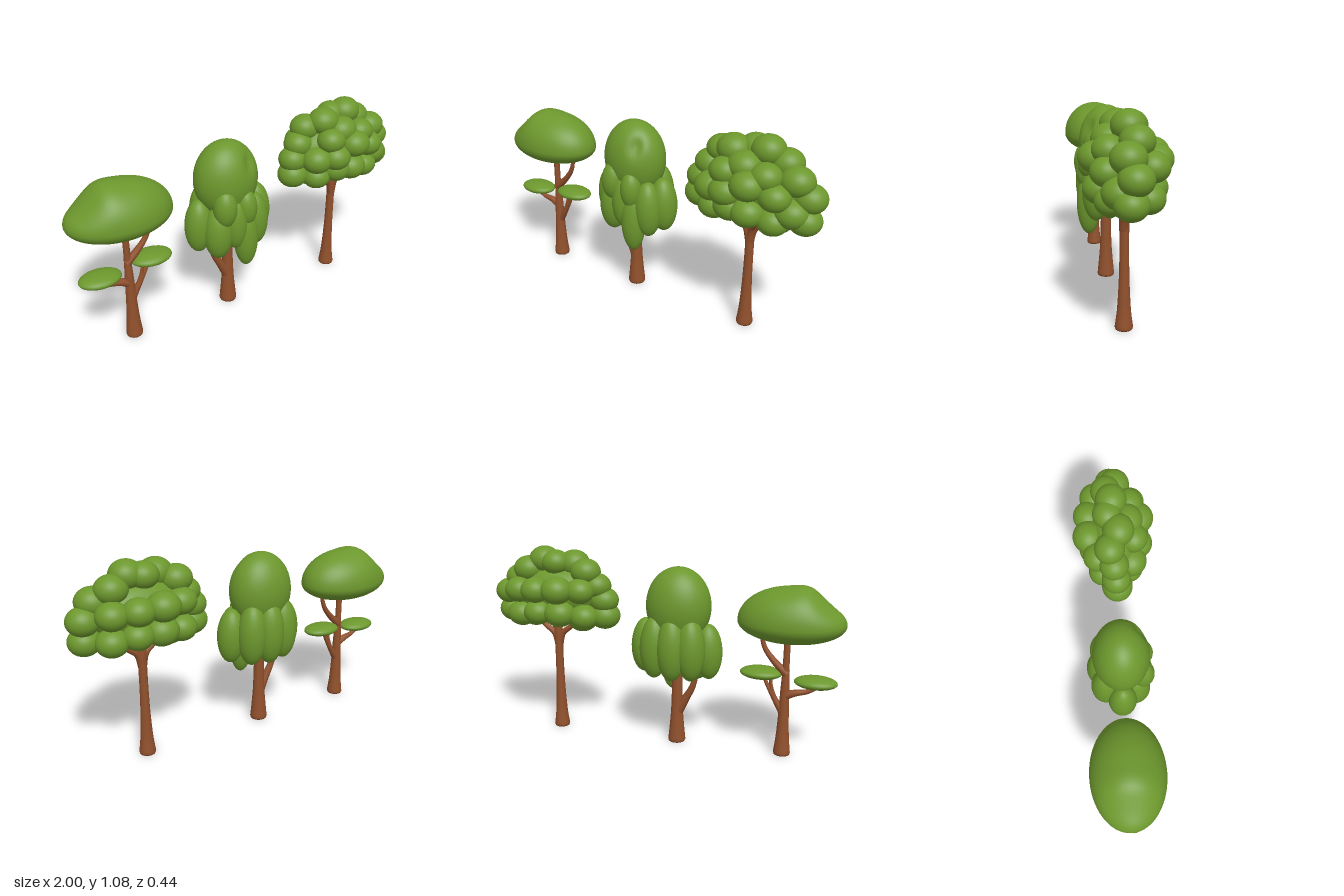
import * as THREE from 'three';
import { mergeVertices } from 'three/addons/utils/BufferGeometryUtils.js';

const leaf = new THREE.MeshStandardMaterial({ color: 0x6c972d });
leaf.name = 'leaf green';
const bark = new THREE.MeshStandardMaterial({ color: 0x90502c });
bark.name = 'bark brown';

function add(parent, name, geometry, material) {
  const mesh = new THREE.Mesh(geometry, material);
  mesh.name = name;
  parent.add(mesh);
  return mesh;
}

// Ellipsoid of foliage
const ball = new THREE.SphereGeometry(1, 32, 20);
function blob(parent, name, [x, y, z], [rx, ry, rz], tilt = 0) {
  const mesh = add(parent, name, ball, leaf);
  mesh.position.set(x, y, z);
  mesh.scale.set(rx, ry, rz);
  mesh.rotation.z = tilt;
}

// Sphere whose vertices are moved by a rule
function shaped(rule) {
  let g = new THREE.SphereGeometry(1, 64, 40);
  g.deleteAttribute('uv');
  g.deleteAttribute('normal');
  g = mergeVertices(g, 1e-4);
  const p = g.attributes.position, v = new THREE.Vector3();
  for (let i = 0; i < p.count; i++) {
    rule(v.fromBufferAttribute(p, i));
    p.setXYZ(i, v.x, v.y, v.z);
  }
  g.computeVertexNormals();
  return g;
}

// Flared trunk, profile given as [radius, height]
function trunk(parent, x, z, profile) {
  const curve = new THREE.SplineCurve(profile.map(([r, y]) => new THREE.Vector2(r, y)));
  const base = profile[0][0];
  const pts = [new THREE.Vector2(0, 0), new THREE.Vector2(base * 0.93, 0), ...curve.getPoints(20)];
  pts.push(new THREE.Vector2(0, pts[pts.length - 1].y));
  add(parent, 'trunk', new THREE.LatheGeometry(pts, 24), bark).position.set(x, 0, z);
}

// Tube along a curve, tapering from r0 to r1
function branch(parent, points, r0, r1) {
  const curve = new THREE.CatmullRomCurve3(points.map((p) => new THREE.Vector3(...p)));
  const segs = 16, sides = 12;
  const g = new THREE.TubeGeometry(curve, segs, 1, sides);
  const p = g.attributes.position, v = new THREE.Vector3();
  for (let i = 0; i <= segs; i++) {
    const c = curve.getPointAt(i / segs);
    const r = r1 + (r0 - r1) * (1 - i / segs) ** 1.6;
    for (let j = 0; j <= sides; j++) {
      const k = i * (sides + 1) + j;
      v.fromBufferAttribute(p, k).sub(c).multiplyScalar(r).add(c);
      p.setXYZ(k, v.x, v.y, v.z);
    }
  }
  add(parent, 'branch', g, bark);
}

function umbrellaTree() {
  const tree = new THREE.Group();
  tree.name = 'umbrellaTree';
  const z = 0.01;
  trunk(tree, -0.705, z, [[0.046, 0.01], [0.036, 0.1], [0.029, 0.22], [0.024, 0.36], [0.018, 0.5], [0.017, 0.7]]);
  branch(tree, [[-0.70, 0.335, z], [-0.76, 0.358, z], [-0.825, 0.373, 0.015], [-0.895, 0.415, 0.02]], 0.026, 0.010);
  branch(tree, [[-0.705, 0.23, z], [-0.655, 0.31, z], [-0.615, 0.38, z], [-0.58, 0.45, z]], 0.024, 0.009);
  branch(tree, [[-0.65, 0.32, z], [-0.632, 0.38, z], [-0.625, 0.45, z]], 0.014, 0.008);
  branch(tree, [[-0.71, 0.46, z], [-0.64, 0.525, z], [-0.588, 0.595, z], [-0.562, 0.69, z]], 0.024, 0.011);
  // Lopsided canopy: flat underside, sloping right-hand side
  const canopy = shaped((v) => {
    const slope = 1 - THREE.MathUtils.smoothstep(v.x, -0.85, -0.3);
    const height = 0.188 - 0.06 * slope + 0.010 * Math.exp(-(((v.x + 0.22) / 0.22) ** 2));
    v.set(v.x * 0.28, v.y * (v.y > 0 ? height : 0.108), v.z * 0.192);
  });
  add(tree, 'canopy', canopy, leaf).position.set(-0.72, 0.745, 0);
  blob(tree, 'leafPad', [-0.862, 0.425, 0.02], [0.113, 0.033, 0.082]);
  blob(tree, 'leafPad', [-0.573, 0.455, 0.01], [0.113, 0.033, 0.082]);
  return tree;
}

function ovalTree() {
  const tree = new THREE.Group();
  tree.name = 'ovalTree';
  trunk(tree, -0.108, 0, [[0.049, 0.01], [0.042, 0.08], [0.034, 0.18], [0.030, 0.3], [0.027, 0.45], [0.024, 0.62]]);
  branch(tree, [[-0.115, 0.18, 0], [-0.155, 0.255, 0], [-0.195, 0.33, 0], [-0.225, 0.44, 0]], 0.03, 0.014);
  // Crown with a shallow dimple
  const crown = shaped((v) => {
    const d = Math.hypot((v.x - 0.45) / 0.17, (v.y - 0.48) / 0.23);
    const dent = v.z > 0 ? 0.025 * Math.exp(-d * d) : 0;
    v.set(v.x * 0.18, v.y * 0.215, v.z * 0.15 - dent);
  });
  add(tree, 'crown', crown, leaf).position.set(-0.112, 0.787, 0);
  // Hanging leaf clumps: x, y, z, radius, half height
  const clumps = [
    [-0.283, 0.545, 0.0, 0.077, 0.155], [0.079, 0.555, 0.0, 0.078, 0.155],
    [-0.205, 0.515, 0.075, 0.08, 0.155], [0.025, 0.535, 0.07, 0.076, 0.16],
    [-0.18, 0.67, 0.11, 0.065, 0.108], [-0.055, 0.645, 0.115, 0.06, 0.105],
    [-0.115, 0.56, 0.105, 0.065, 0.15], [-0.05, 0.46, 0.103, 0.068, 0.183],
    [-0.205, 0.57, -0.085, 0.081, 0.175], [-0.105, 0.57, -0.104, 0.082, 0.18],
    [-0.003, 0.57, -0.085, 0.081, 0.175],
  ];
  for (const [x, y, z, r, h] of clumps) blob(tree, 'leafClump', [x, y, z], [r, h, r], (x + 0.11) * 0.2);
  return tree;
}

function clusterTree() {
  const tree = new THREE.Group();
  tree.name = 'clusterTree';
  const x0 = 0.617;
  trunk(tree, x0, -0.003, [[0.045, 0.01], [0.034, 0.1], [0.026, 0.25], [0.023, 0.4], [0.023, 0.52], [0.024, 0.6], [0.018, 0.7]]);
  // Forked branches under the leaves
  for (const [dx, dz] of [[-1, 0.1], [1, -0.1], [0.5, 0.35]]) {
    branch(tree, [[x0, 0.50, 0], [x0 + dx * 0.025, 0.575, dz * 0.025], [x0 + dx * 0.08, 0.62, dz * 0.08],
      [x0 + dx * 0.14, 0.69, dz * 0.12]], 0.023, 0.012);
  }
  // Leaf balls in layers, top to bottom
  const top = [
    [0.42, 0.95, -0.03], [0.51, 0.985, 0.02], [0.60, 0.995, -0.035], [0.68, 1.005, -0.01],
    [0.77, 0.95, -0.035], [0.72, 0.905, 0.085], [0.60, 0.93, 0.07],
  ];
  const middle = [
    [0.365, 0.87, -0.01], [0.325, 0.79, 0.0], [0.43, 0.79, 0.085], [0.51, 0.895, 0.1],
    [0.53, 0.80, 0.125], [0.65, 0.86, 0.135], [0.78, 0.82, 0.10], [0.85, 0.89, 0.015],
    [0.912, 0.81, -0.01], [0.43, 0.85, -0.095], [0.55, 0.855, -0.14], [0.68, 0.85, -0.14],
    [0.80, 0.84, -0.10],
  ];
  const bottom = [
    [0.325, 0.70, 0.005], [0.44, 0.685, 0.075], [0.55, 0.72, 0.105], [0.65, 0.715, 0.115],
    [0.77, 0.685, 0.08], [0.85, 0.74, 0.05], [0.905, 0.70, 0.01], [0.42, 0.70, -0.07],
    [0.55, 0.72, -0.11], [0.68, 0.72, -0.115], [0.80, 0.70, -0.08],
    [0.46, 0.675, 0.0], [0.77, 0.675, 0.02],
  ];
  [...top, ...middle, ...bottom].forEach((p, i) => {
    const s = 1 + 0.05 * Math.sin(i * 2.3);
    blob(tree, 'leafBall', p, [0.085 * s, 0.073 * s, 0.081 * s]);
  });
  blob(tree, 'innerFoliage', [0.62, 0.82, 0], [0.27, 0.15, 0.13]);
  return tree;
}

export function createModel() {
  const model = new THREE.Group();
  model.name = 'trees';
  model.add(umbrellaTree(), ovalTree(), clusterTree());
  return model;
}
